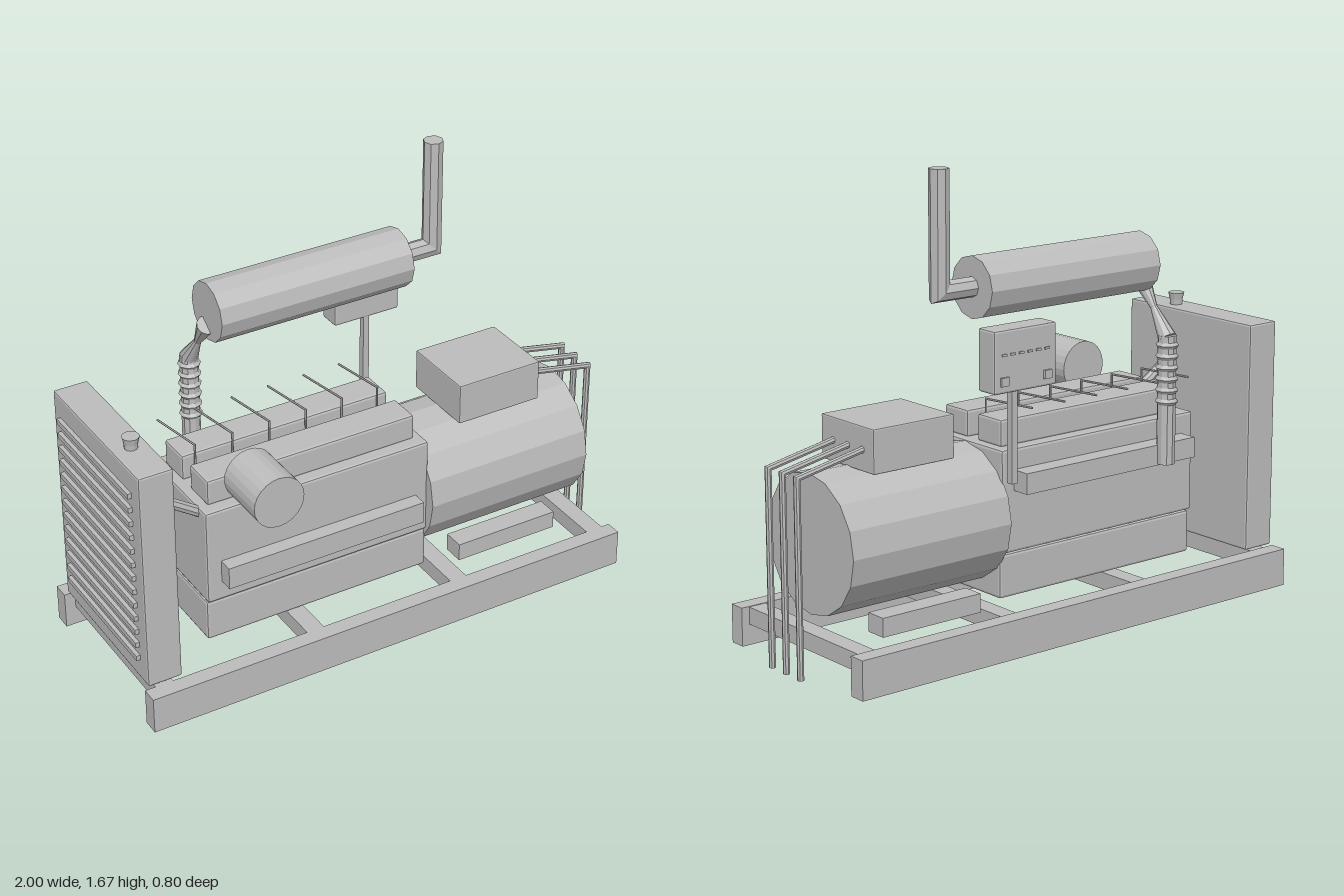
import * as THREE from 'three';
import { RoundedBoxGeometry } from 'three/addons/geometries/RoundedBoxGeometry.js';

const grey = new THREE.MeshStandardMaterial({ color: 0xbcbcbc, flatShading: true });
grey.name = 'plain grey';

// Round bar through a list of points with mitred corners; radius may vary per point
function pipeGeometry(path, radius, sides = 8) {
  const pts = path.map((p) => new THREE.Vector3(...p));
  const r = pts.map((_, i) => (Array.isArray(radius) ? radius[i] : radius));
  const dirs = pts.slice(1).map((p, i) => p.clone().sub(pts[i]).normalize());
  const d0 = dirs[0];
  const up = Math.abs(d0.y) > 0.9 ? new THREE.Vector3(1, 0, 0) : new THREE.Vector3(0, 1, 0);
  const u = up.cross(d0).normalize();
  const v = d0.clone().cross(u);
  const ring = [];
  for (let j = 0; j < sides; j++) {
    const a = (j / sides) * Math.PI * 2;
    ring.push(u.clone().multiplyScalar(Math.cos(a) * r[0]).addScaledVector(v, Math.sin(a) * r[0]));
  }
  const pos = [], idx = [];
  pts.forEach((p, i) => {
    if (i > 0) {
      const d = dirs[i - 1];
      const m = d.clone().add(dirs[i] ?? d).normalize();
      for (const o of ring) {
        o.multiplyScalar(r[i] / r[i - 1]);
        o.addScaledVector(d, -o.dot(m) / d.dot(m));
      }
    }
    for (const o of ring) pos.push(p.x + o.x, p.y + o.y, p.z + o.z);
  });
  for (let i = 0; i < pts.length - 1; i++) {
    for (let j = 0; j < sides; j++) {
      const k = (j + 1) % sides;
      const a = i * sides + j, b = i * sides + k;
      idx.push(a, b, b + sides, a, b + sides, a + sides);
    }
  }
  const last = (pts.length - 1) * sides;
  for (let j = 1; j < sides - 1; j++) idx.push(0, j + 1, j, last, last + j, last + j + 1);
  const g = new THREE.BufferGeometry();
  g.setAttribute('position', new THREE.Float32BufferAttribute(pos, 3));
  g.setIndex(idx);
  g.computeVertexNormals();
  return g;
}

export function createModel() {
  const model = new THREE.Group();
  model.name = 'generatorSet';

  function add(name, geometry, parent = model) {
    const mesh = new THREE.Mesh(geometry, grey);
    mesh.name = name;
    parent.add(mesh);
    return mesh;
  }
  function group(name) {
    const g = new THREE.Group();
    g.name = name;
    model.add(g);
    return g;
  }
  // Box given by its limits on each axis, with an optional chamfer
  function box(name, [x0, x1], [y0, y1], [z0, z1], bevel = 0, parent = model) {
    const s = [x1 - x0, y1 - y0, z1 - z0];
    const geo = bevel ? new RoundedBoxGeometry(...s, 1, bevel) : new THREE.BoxGeometry(...s);
    const mesh = add(name, geo, parent);
    mesh.position.set((x0 + x1) / 2, (y0 + y1) / 2, (z0 + z1) / 2);
    return mesh;
  }
  const pipe = (name, path, radius, sides, parent) => add(name, pipeGeometry(path, radius, sides), parent);

  // Skid frame
  const frame = group('skidFrame');
  box('frontRail', [-1, 0.945], [0, 0.14], [0.305, 0.367], 0, frame);
  box('backRail', [-1, 0.945], [0, 0.14], [-0.397, -0.333], 0, frame);
  for (const x of [-0.925, -0.325, 0.275, 0.88]) {
    box('crossMember', [x - 0.034, x + 0.034], [0.075, 0.138], [-0.335, 0.307], 0, frame);
  }

  // Radiator with slats and filler cap
  const radiator = group('radiator');
  box('radiatorCore', [-0.985, -0.855], [0.148, 1.0], [-0.34, 0.305], 0.008, radiator);
  for (let i = 0; i < 13; i++) {
    const y = 0.24 + i * 0.0555;
    box('radiatorSlat', [-1, -0.98], [y - 0.01, y + 0.01], [-0.29, 0.25], 0, radiator);
  }
  pipe('fillerCap', [[-0.917, 0.995, 0.12], [-0.917, 1.02, 0.12], [-0.917, 1.045, 0.12]], [0.023, 0.025, 0.031], 12, radiator);
  pipe('coolantHose', [[-0.87, 0.79, 0.12], [-0.67, 0.655, 0.12]], 0.02, 8, radiator);

  // Engine
  const engine = group('engine');
  box('engineBlock', [-0.685, 0.212], [0.312, 0.685], [-0.22, 0.187], 0.01, engine);
  box('oilPan', [-0.685, 0.212], [0.148, 0.307], [-0.208, 0.175], 0.01, engine);
  box('frontManifold', [-0.63, 0.16], [0.39, 0.475], [0.17, 0.243], 0, engine);
  box('exhaustManifold', [-0.63, 0.16], [0.535, 0.61], [-0.292, -0.2], 0, engine);
  box('frontValveCover', [-0.65, 0.18], [0.68, 0.78], [0.01, 0.138], 0.01, engine);
  box('backValveCover', [-0.65, 0.18], [0.68, 0.78], [-0.175, -0.045], 0.01, engine);
  for (let i = 0; i < 6; i++) {
    const x = -0.605 + i * 0.147;
    pipe('fuelLine', [[x, 0.68, -0.032], [x, 0.822, -0.032], [x - 0.037, 0.822, -0.24]], 0.004, 6, engine);
  }
  pipe('airCleaner', [[-0.515, 0.803, 0.19], [-0.515, 0.803, 0.4]], 0.096, 24, engine);

  // Alternator, feet and terminal box
  const alternator = group('alternator');
  pipe('alternatorBody', [[0.205, 0.433, -0.015], [0.877, 0.433, -0.015]], 0.248, 16, alternator);
  for (const z of [0.172, -0.215]) {
    box('alternatorFoot', [0.337, 0.755], [0.14, 0.208], [z - 0.041, z + 0.041], 0, alternator);
  }
  box('terminalBox', [0.377, 0.718], [0.675, 0.832], [-0.165, 0.132], 0.005, alternator);
  for (const z of [0.064, -0.019, -0.102]) {
    pipe('powerCable', [[0.7, 0.755, z], [0.985, 0.698, z], [0.985, 0, z]], 0.012, 8, alternator);
  }

  // Exhaust: flexible riser, tapered neck, silencer and stack
  const exhaust = group('exhaust');
  const ex = -0.48, ez = -0.3;
  pipe('exhaustRiser', [[ex, 0.54, ez], [ex, 1.01, ez]], 0.034, 10, exhaust);
  for (let i = 0; i < 6; i++) {
    const y = 0.77 + i * 0.041;
    const h = 0.011;
    pipe('flexRib', [[ex, y - h, ez], [ex, y, ez], [ex, y + h, ez]], [0.034, 0.042, 0.034], 10, exhaust);
  }
  pipe('exhaustNeck', [[ex, 1.2, -0.155], [ex, 1.1, -0.228], [ex, 1.0, ez]], [0.036, 0.013, 0.034], 10, exhaust);
  pipe('silencer', [[-0.48, 1.255, -0.15], [0.286, 1.255, -0.15]], 0.11, 12, exhaust);
  pipe('exhaustStack', [[0.27, 1.257, -0.15], [0.425, 1.257, -0.15], [0.425, 1.675, -0.15]], 0.036, 8, exhaust);

  // Control panel on its post, facing the back
  const panel = group('controlPanel');
  box('panelPost', [0.24, 0.264], [0.6, 0.95], [-0.335, -0.31], 0, panel);
  box('panelCase', [0.117, 0.386], [0.938, 1.155], [-0.393, -0.305], 0.008, panel);
  for (const x of [0.157, 0.345]) {
    box('panelKnob', [x - 0.016, x + 0.016], [0.965, 0.995], [-0.401, -0.39], 0, panel);
  }
  for (let i = 0; i < 6; i++) {
    const x = 0.16 + i * 0.037;
    box('panelIndicator', [x - 0.01, x + 0.01], [1.066, 1.074], [-0.397, -0.39], 0, panel);
  }
  return model;
}
